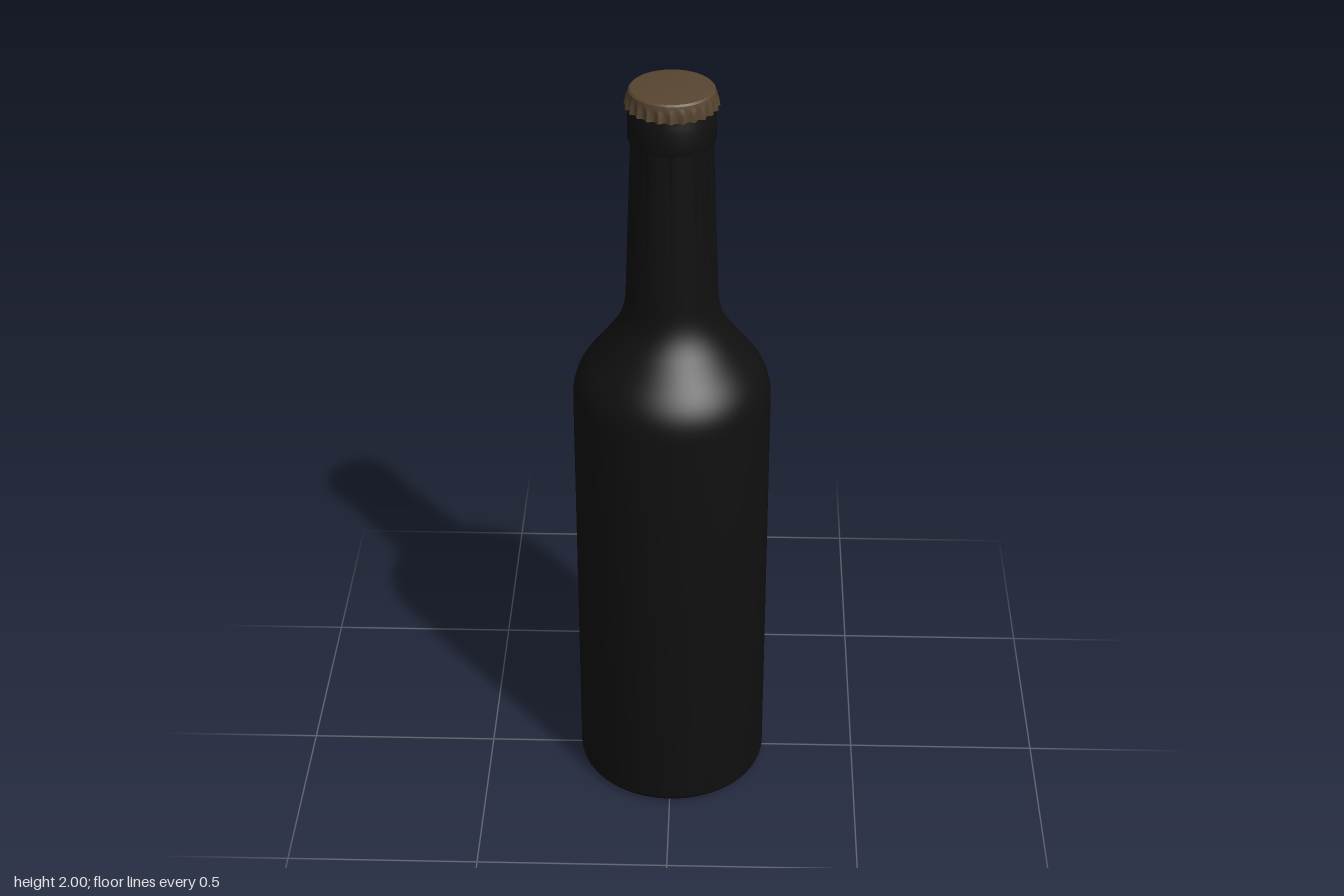
import * as THREE from 'three';
import { toCreasedNormals } from 'three/addons/utils/BufferGeometryUtils.js';

const v = (r, y) => new THREE.Vector2(r, y);

// Glass outline from the hollow underside up to the mouth
function glassProfile() {
  const outline = new THREE.Path();
  outline.moveTo(0, 0.045);
  outline.quadraticCurveTo(0.15, 0.04, 0.205, 0.004);
  outline.quadraticCurveTo(0.215, 0, 0.225, 0);
  outline.quadraticCurveTo(0.25, 0, 0.251, 0.025); // heel
  outline.lineTo(0.251, 1.15);
  outline.bezierCurveTo(0.251, 1.215, 0.225, 1.245, 0.19, 1.288); // shoulder
  outline.lineTo(0.155, 1.335);
  outline.bezierCurveTo(0.13, 1.37, 0.117, 1.4, 0.115, 1.45);
  outline.lineTo(0.1, 1.865); // neck
  outline.lineTo(0.105, 1.868);
  outline.lineTo(0.107, 1.874); // lip ring
  outline.lineTo(0.107, 1.925);
  outline.lineTo(0.103, 1.94);
  outline.lineTo(0.098, 1.975);
  outline.lineTo(0, 1.975);
  return outline.getPoints(10);
}

// Crown cap: a lathed shell whose skirt flares into pointed crimps
function capGeometry() {
  const teeth = 24, perTooth = 8, skirtTop = 1.988, skirtBottom = 1.954;
  const profile = [
    v(0.099, 1.956), v(0.105, skirtBottom), v(0.105, 1.965), v(0.105, 1.977),
    v(0.105, skirtTop), v(0.1035, 1.995), v(0.099, 1.999), v(0.094, 2), v(0, 2),
  ];
  const geometry = new THREE.LatheGeometry(profile, teeth * perTooth);
  const pos = geometry.attributes.position;
  for (let i = 0; i < pos.count; i++) {
    const x = pos.getX(i), y = pos.getY(i), z = pos.getZ(i);
    const r = Math.hypot(x, z);
    if (r < 0.104 || y >= skirtTop) continue;
    const phase = Math.atan2(z, x) * teeth / (2 * Math.PI);
    const wave = Math.abs(phase - Math.round(phase)) * 2; // 0 at a tip, 1 in a valley
    const drop = (skirtTop - y) / (skirtTop - skirtBottom);
    const scale = 1 + 0.09 * Math.sqrt(drop) * Math.max(0, 1 - wave * 1.25);
    pos.setXYZ(i, x * scale, y, z * scale);
  }
  return toCreasedNormals(geometry, 0.45);
}

export function createModel() {
  const model = new THREE.Group();
  model.name = 'bottle';

  const glass = new THREE.Mesh(
    toCreasedNormals(new THREE.LatheGeometry(glassProfile(), 64), 0.6),
    new THREE.MeshStandardMaterial({ color: 0x101010 }));
  glass.name = 'glassBody';

  const cap = new THREE.Mesh(
    capGeometry(),
    new THREE.MeshStandardMaterial({ color: 0x574530, side: THREE.DoubleSide }));
  cap.name = 'crownCap';

  model.add(glass, cap);
  return model;
}
